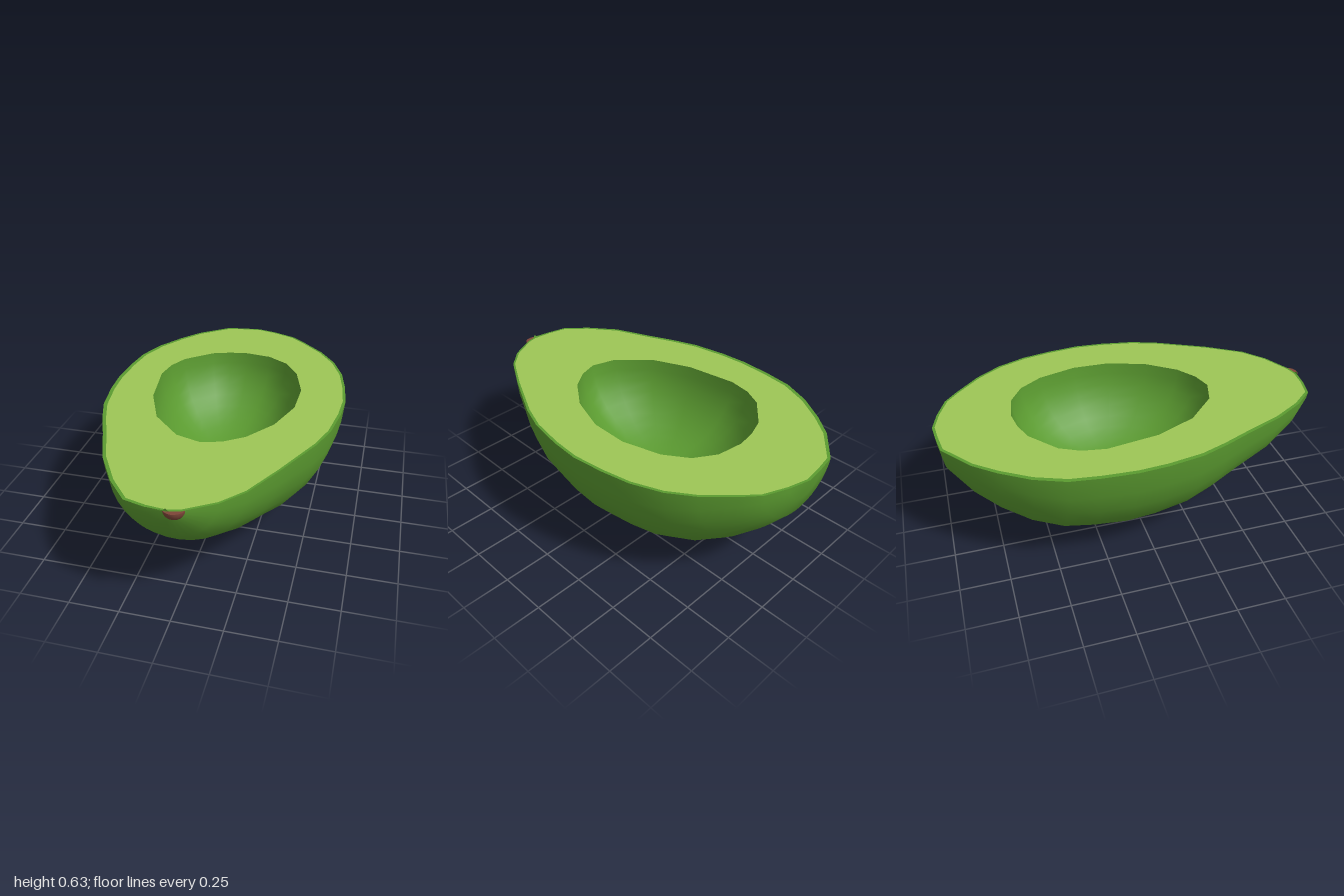
import * as THREE from 'three';
import { mergeVertices } from 'three/addons/utils/BufferGeometryUtils.js';

const TOP = 0.633;

// Half-outlines from back to front: [half width, z]
const RIGHT = [[0, -1], [0.11, -0.97], [0.23, -0.92], [0.31, -0.85], [0.43, -0.73], [0.52, -0.6],
  [0.58, -0.45], [0.61, -0.3], [0.63, -0.13], [0.62, 0.02], [0.59, 0.2], [0.54, 0.34],
  [0.47, 0.48], [0.41, 0.6], [0.3, 0.79], [0.2, 0.89], [0.06, 0.97], [0, 0.985]];
const LEFT = [[0, -1], [0.1, -0.99], [0.2, -0.975], [0.36, -0.85], [0.45, -0.74], [0.54, -0.6],
  [0.6, -0.45], [0.62, -0.3], [0.63, -0.13], [0.62, 0.02], [0.59, 0.2], [0.54, 0.34],
  [0.48, 0.48], [0.4, 0.68], [0.3, 0.84], [0.2, 0.95], [0.1, 0.975], [0, 0.985]];

// Stone hollow outline: [x, z], starting at the back
const HOLLOW = [[0, -0.61], [0.14, -0.59], [0.25, -0.52], [0.33, -0.4], [0.385, -0.2], [0.38, 0],
  [0.31, 0.2], [0.2, 0.35], [0.1, 0.42], [0, 0.45], [-0.13, 0.41], [-0.28, 0.26], [-0.37, 0.05],
  [-0.41, -0.22], [-0.39, -0.34], [-0.34, -0.44], [-0.2, -0.56], [-0.1, -0.595]];

// The cut face dips slightly near the narrow front end
const dip = (z) => 0.018 * THREE.MathUtils.clamp((z - 0.7) / 0.28, 0, 1);

// Smooth surface over a grid of points
function gridSurface(rows, cols, point) {
  const pos = [], index = [];
  for (let i = 0; i <= rows; i++) {
    for (let j = 0; j <= cols; j++) {
      pos.push(...point(i, j));
      if (i === rows || j === cols) continue;
      const a = i * (cols + 1) + j, b = a + cols + 1;
      index.push(a, b, a + 1, b, b + 1, a + 1);
    }
  }
  let geo = new THREE.BufferGeometry();
  geo.setAttribute('position', new THREE.Float32BufferAttribute(pos, 3));
  geo.setIndex(index);
  geo = mergeVertices(geo, 1e-5);
  geo.computeVertexNormals();
  return geo;
}

// Level face bounded by an outline, with a hole
function cutFace(outline, hole) {
  const toPoints = (list) => list.map(([x, z]) => new THREE.Vector2(x, -z));
  const shape = new THREE.Shape(toPoints(outline));
  shape.holes.push(new THREE.Path(toPoints(hole)));
  const geo = new THREE.ShapeGeometry(shape).rotateX(-Math.PI / 2);
  const p = geo.attributes.position;
  for (let i = 0; i < p.count; i++) p.setY(i, TOP - dip(p.getZ(i)));
  return geo;
}

export function createModel() {
  const group = new THREE.Group();
  const material = (name, color) => {
    const m = new THREE.MeshStandardMaterial({ color, side: THREE.DoubleSide });
    m.name = name;
    return m;
  };
  const skin = material('skin green', 0x5b9b30);
  const flesh = material('flesh green', 0x9dc656);
  const brown = material('stem brown', 0x7d4638);
  const add = (name, geo, mat) => {
    const mesh = new THREE.Mesh(geo, mat);
    mesh.name = name;
    group.add(mesh);
    return mesh;
  };

  // Outer skin: half-round cross-sections swept from back to front
  const SIDES = 16;
  add('skin', gridSurface(RIGHT.length - 1, SIDES, (i, j) => {
    const f = j / SIDES, t = f * Math.PI;
    const r = THREE.MathUtils.lerp(RIGHT[i][0], LEFT[i][0], f);
    const z = THREE.MathUtils.lerp(RIGHT[i][1], LEFT[i][1], f);
    const s = Math.sin(t);
    return [r * Math.cos(t), TOP - r * s - dip(z) * (1 - s), z];
  }), skin);

  // Cut face: thin skin rim around the flesh
  const outline = [...RIGHT, ...LEFT.slice(1, -1).reverse().map(([x, z]) => [-x, z])];
  const inner = outline.map(([x, z]) => [x * 0.972 + 0.003, z * 0.987]);
  add('skinRim', cutFace(outline, inner), skin);
  add('flesh', cutFace(inner, HOLLOW), flesh);

  // Hollow left by the stone
  const RINGS = 10, DEPTH = 0.4, cx = -0.01, cz = -0.1;
  add('stoneHollow', gridSurface(RINGS, HOLLOW.length, (i, j) => {
    const [x, z] = HOLLOW[j % HOLLOW.length], a = (i / RINGS) * Math.PI / 2;
    const c = i === RINGS ? 0 : Math.cos(a);
    return [cx + (x - cx) * c, TOP - DEPTH * Math.sin(a), cz + (z - cz) * c];
  }), skin);

  // Stem stub, a half ball just under the cut face
  const stem = add('stem', new THREE.SphereGeometry(0.055, 20, 10, 0, Math.PI * 2, Math.PI / 2, Math.PI / 2), brown);
  stem.position.set(0.025, 0.614, 0.945);
  const cap = add('stemTop', new THREE.CircleGeometry(0.055, 20).rotateX(-Math.PI / 2), brown);
  cap.position.copy(stem.position);

  return group;
}
